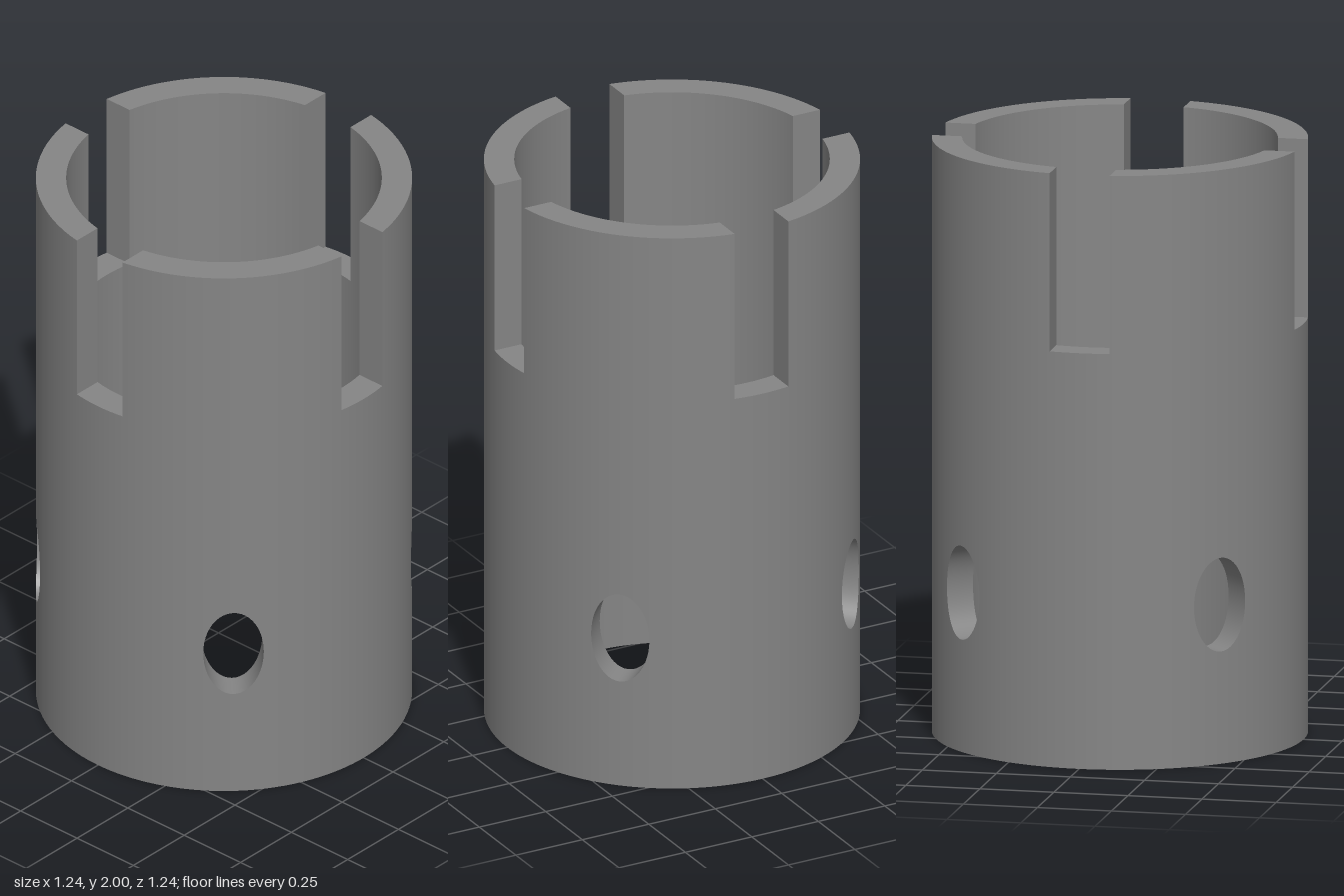
import * as THREE from 'three';
import { mergeGeometries } from 'three/addons/utils/BufferGeometryUtils.js';

const OUTER = 0.62, INNER = 0.52, HEIGHT = 2;
const SLOT_HALF = 0.101, SLOT_FLOOR = 1.4;
const HOLE = { y: 0.536, halfWidth: 0.1, halfHeight: 0.158 };

const UP = [0, 1, 0], DOWN = [0, -1, 0];

// A column pairs the angle on the outer wall with the angle on the inner wall
const blend = (a, b, steps) => Array.from({ length: steps + 1 }, (_, i) => ({
  outer: THREE.MathUtils.lerp(a.outer, b.outer, i / steps),
  inner: THREE.MathUtils.lerp(a.inner, b.inner, i / steps),
}));
const offsetColumn = (s, base = 0) => ({
  outer: base + Math.asin(s / OUTER),
  inner: base + Math.asin(s / INNER),
});

// One quarter of the tube, centred on its hole and ending halfway through two slots
function quarterGeometry() {
  const positions = [], normals = [];
  const vert = (a, r, y, n) => ({ p: [r * Math.sin(a), y, r * Math.cos(a)], n });
  const radial = (a, sign) => [sign * Math.sin(a), 0, sign * Math.cos(a)];
  const quad = (a, b, c, d) => {
    for (const v of [a, b, c, a, c, d]) {
      positions.push(...v.p);
      normals.push(...v.n);
    }
  };

  // Curved block: bottom and top give {y, n} for each column
  const block = (cols, bottom, top) => {
    for (let i = 0; i < cols.length - 1; i++) {
      const [c, d] = [cols[i], cols[i + 1]];
      const [b0, b1, t0, t1] = [bottom(i), bottom(i + 1), top(i), top(i + 1)];
      const o = (col, e, n) => vert(col.outer, OUTER, e.y, n ?? radial(col.outer, 1));
      const k = (col, e, n) => vert(col.inner, INNER, e.y, n ?? radial(col.inner, -1));
      quad(o(c, b0), o(d, b1), o(d, t1), o(c, t0));
      quad(k(d, b1), k(c, b0), k(c, t0), k(d, t1));
      quad(o(c, t0, t0.n), o(d, t1, t1.n), k(d, t1, t1.n), k(c, t0, t0.n));
      quad(k(c, b0, b0.n), k(d, b1, b1.n), o(d, b1, b1.n), o(c, b0, b0.n));
    }
  };
  const base = () => ({ y: 0, n: DOWN });
  const rim = () => ({ y: HEIGHT, n: UP });
  const slotFloor = () => ({ y: SLOT_FLOOR, n: UP });

  const corner = Math.PI / 4;
  const ends = [-1, 1].map((side) => ({ outer: side * corner, inner: side * corner }));
  const slotEdges = [offsetColumn(SLOT_HALF, -corner), offsetColumn(-SLOT_HALF, corner)];
  const holeEdges = [offsetColumn(-HOLE.halfWidth), offsetColumn(HOLE.halfWidth)];

  // Under the slots, and the full-height wall beside the hole
  block(blend(ends[0], slotEdges[0], 4), base, slotFloor);
  block(blend(slotEdges[0], holeEdges[0], 8), base, rim);
  block(blend(holeEdges[1], slotEdges[1], 8), base, rim);
  block(blend(slotEdges[1], ends[1], 4), base, slotFloor);

  // Wall below and above the elliptical hole
  const steps = 24;
  const phi = (i) => Math.PI * (1 - i / steps);
  const holeCols = Array.from({ length: steps + 1 }, (_, i) =>
    offsetColumn(HOLE.halfWidth * Math.cos(phi(i))));
  const holeRim = (sign) => (i) => {
    const c = Math.cos(phi(i)), s = sign * Math.sin(phi(i));
    const n = new THREE.Vector3(-c / HOLE.halfWidth, -s / HOLE.halfHeight, 0).normalize();
    return { y: HOLE.y + HOLE.halfHeight * s, n: n.toArray() };
  };
  block(holeCols, base, holeRim(-1));
  block(holeCols, holeRim(1), rim);

  // Upright sides of the slots, parallel to each slot's axis
  slotEdges.forEach((e, i) => {
    const n = [i ? Math.SQRT1_2 : -Math.SQRT1_2, 0, -Math.SQRT1_2];
    const wall = [
      vert(e.inner, INNER, SLOT_FLOOR, n), vert(e.outer, OUTER, SLOT_FLOOR, n),
      vert(e.outer, OUTER, HEIGHT, n), vert(e.inner, INNER, HEIGHT, n),
    ];
    quad(...(i ? wall.reverse() : wall));
  });

  const geometry = new THREE.BufferGeometry();
  geometry.setAttribute('position', new THREE.Float32BufferAttribute(positions, 3));
  geometry.setAttribute('normal', new THREE.Float32BufferAttribute(normals, 3));
  return geometry;
}

export function createModel() {
  const group = new THREE.Group();
  group.name = 'slottedSleeve';

  // Four quarters turned so the slots face front, back, left and right
  const quarters = [0, 1, 2, 3].map((i) =>
    quarterGeometry().rotateY(Math.PI / 4 + (i * Math.PI) / 2));
  const tube = new THREE.Mesh(
    mergeGeometries(quarters),
    new THREE.MeshStandardMaterial({ color: 0x858585 }),
  );
  tube.name = 'slottedTube';
  group.add(tube);
  return group;
}
